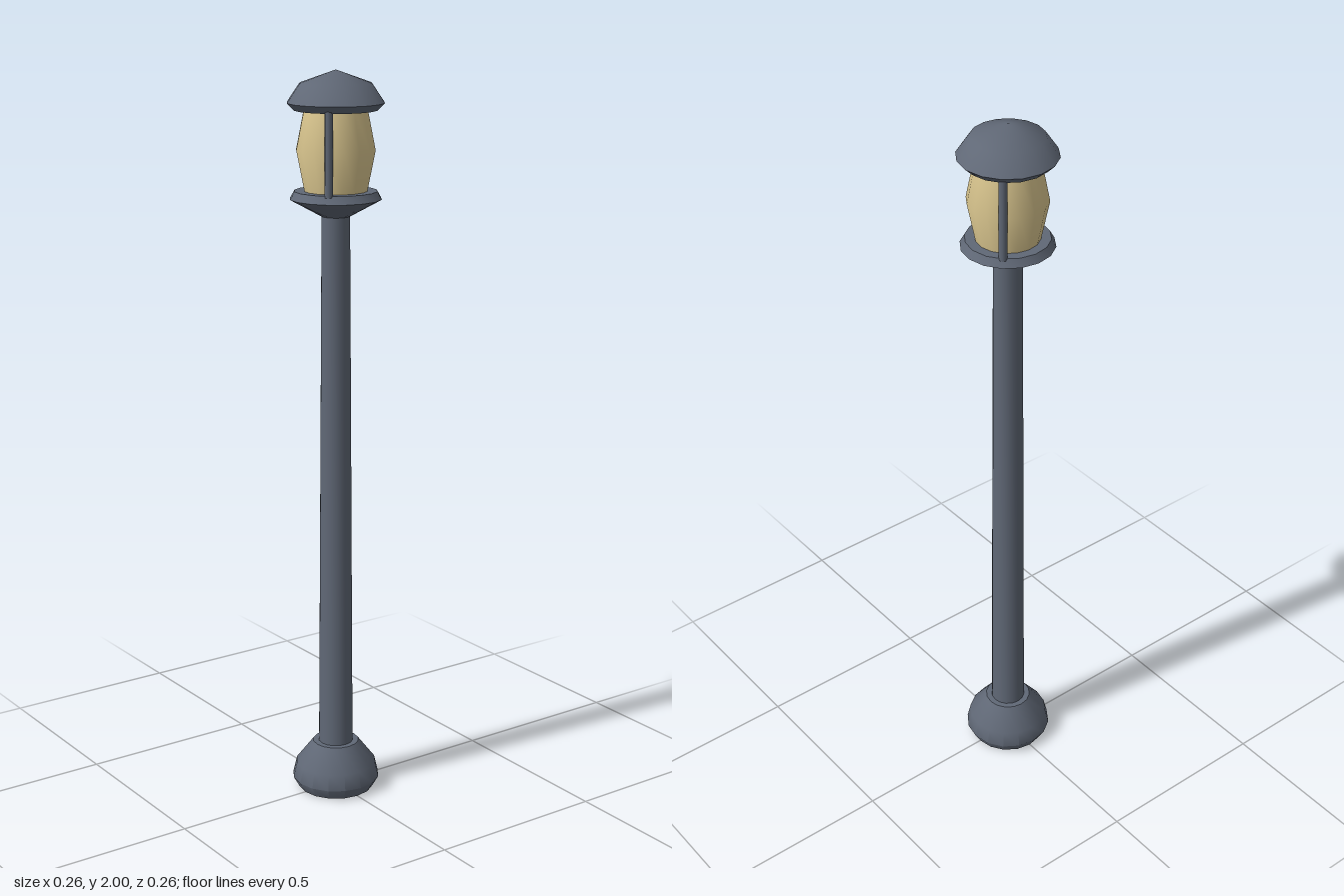
import * as THREE from 'three';
import { toCreasedNormals } from 'three/addons/utils/BufferGeometryUtils.js';

const SIDES = 16;

export function createModel() {
  const metal = new THREE.MeshStandardMaterial({ name: 'slate metal', color: 0x606876 });
  const glow = new THREE.MeshStandardMaterial({ name: 'warm glass', color: 0xdcc890 });
  const group = new THREE.Group();
  group.name = 'lampPost';

  // Turned part from [radius, height] pairs listed bottom to top
  const turned = (name, material, profile, crease = 0.75) => {
    const points = profile.map(([r, y]) => new THREE.Vector2(r, y));
    const geometry = toCreasedNormals(new THREE.LatheGeometry(points, SIDES), crease);
    const mesh = new THREE.Mesh(geometry, material);
    mesh.name = name;
    group.add(mesh);
  };

  // Foot and tapering pole
  turned('base', metal, [[0, 0], [0.105, 0], [0.122, 0.03], [0.112, 0.073], [0.064, 0.135], [0, 0.135]]);
  turned('pole', metal, [[0.048, 0.13], [0.038, 1.63]]);

  // Lantern tray, glass barrel and domed cap
  turned('tray', metal, [[0, 1.62], [0.036, 1.62], [0.122, 1.667], [0.11, 1.688], [0, 1.688]]);
  turned('glass', glow, [[0.083, 1.685], [0.105, 1.795], [0.083, 1.905]]);
  turned('cap', metal, [[0, 1.897], [0.11, 1.897], [0.129, 1.916], [0.095, 1.966], [0, 2]]);

  // Two upright bars on opposite corners of the lantern
  for (const side of [-1, 1]) {
    const bar = new THREE.Mesh(new THREE.CylinderGeometry(0.011, 0.011, 0.22, 8), metal);
    bar.name = side < 0 ? 'rightFrontBar' : 'leftBackBar';
    bar.position.set(side * 0.074, 1.793, -side * 0.074);
    group.add(bar);
  }
  return group;
}
